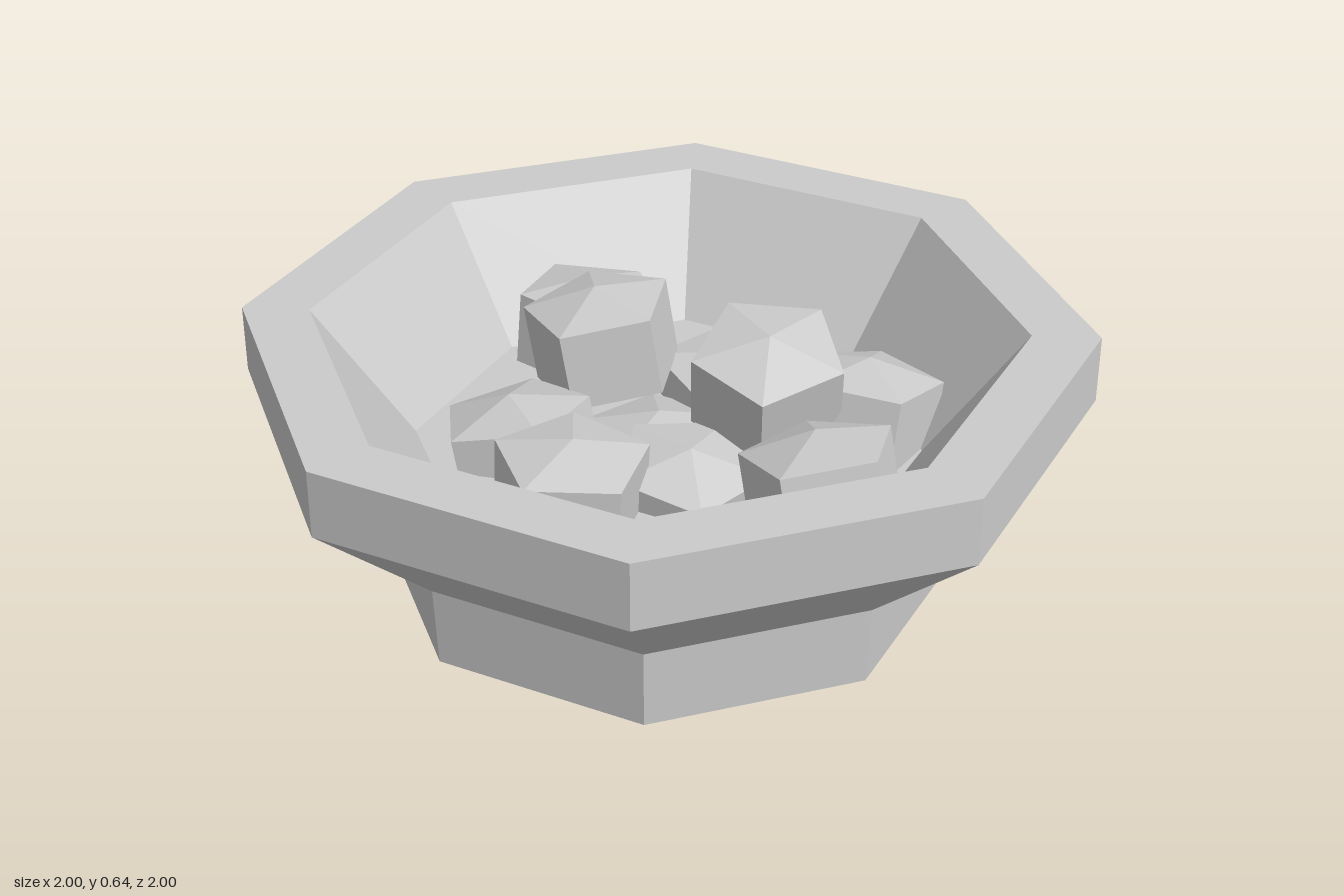
import * as THREE from 'three';

const material = new THREE.MeshStandardMaterial({ color: 0xcccccc, flatShading: true });

// Revolves a low-poly profile given as [radius, height] pairs
function lathe(points, sides) {
  return new THREE.LatheGeometry(points.map(([r, y]) => new THREE.Vector2(r, y)), sides);
}

export function createModel() {
  const model = new THREE.Group();
  model.name = 'bowlOfStones';

  // Octagonal bowl: foot, flared body, flat rim, sloped inside and floor
  const bowl = new THREE.Mesh(lathe([
    [0, 0], [0.69, 0], [0.7, 0.2], [1, 0.475], [1, 0.64],
    [0.84, 0.64], [0.605, 0.32], [0, 0.32],
  ], 8), material);
  bowl.name = 'bowl';
  model.add(bowl);

  // Five-sided stone with shallow pointed caps; its origin is the upper tip
  const stoneGeometry = lathe([[0, -0.285], [0.185, -0.24], [0.185, -0.045], [0, 0]], 5);

  // Tip x, y, z; direction of one corner (x, z); lean (x, z) of the axis
  const stones = [
    [-0.29, 0.455, -0.235, -10, 33, -0.06, -0.2],
    [0.01, 0.62, -0.28, 2, 34, -0.1, -0.12],
    [0.155, 0.53, -0.46, 4, -29, 0.1, 0],
    [0.28, 0.425, -0.085, 33, 7, 0.1, 0.1],
    [-0.365, 0.515, 0.1, -2, 34, 0.02, 0.05],
    [-0.1, 0.43, 0.2, -2, -30, -0.03, 0.15],
    [0.13, 0.645, 0.21, 7, -35, -0.18, 0.2],
    [0.39, 0.525, 0.28, 27, -18, 0.2, -0.04],
    [0.035, 0.55, 0.465, 1, 34, 0, -0.25],
    [0, 0.39, -0.03, 0, 1, 0.05, -0.05],
  ];
  const pile = new THREE.Group();
  pile.name = 'stones';
  const up = new THREE.Vector3(0, 1, 0);
  stones.forEach(([x, y, z, cx, cz, leanX, leanZ], i) => {
    const stone = new THREE.Mesh(stoneGeometry, material);
    stone.name = `stone${i + 1}`;
    stone.position.set(x, y, z);
    const axis = new THREE.Vector3(leanX, 1, leanZ).normalize();
    const yaw = new THREE.Quaternion().setFromAxisAngle(up, Math.atan2(cx, cz));
    stone.quaternion.setFromUnitVectors(up, axis).multiply(yaw);
    pile.add(stone);
  });
  model.add(pile);

  return model;
}
